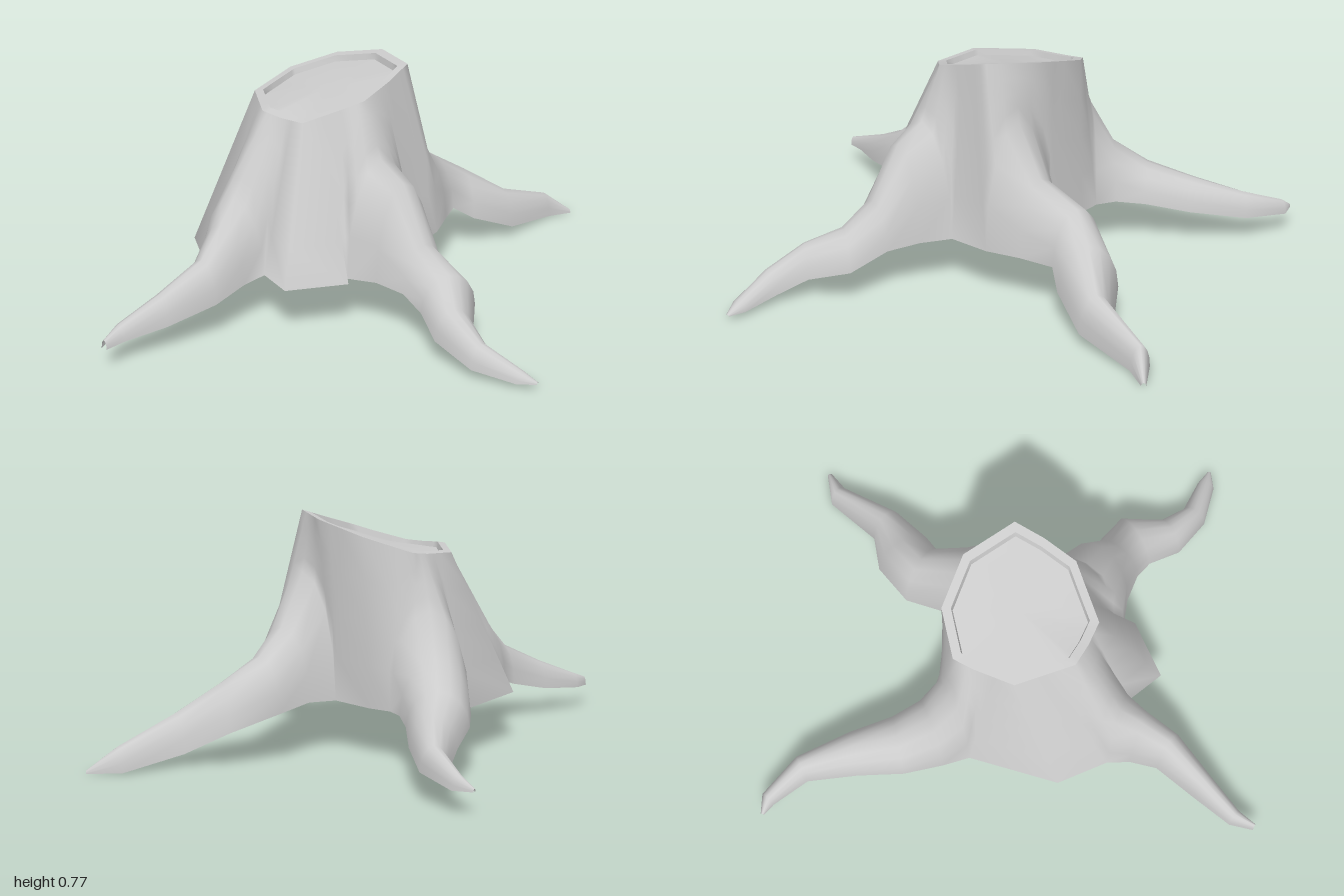
import * as THREE from 'three';
import { mergeGeometries, mergeVertices } from 'three/addons/utils/BufferGeometryUtils.js';

// Outline of the sloping cut, running from the back over +x to the front
const CUT = [[-0.06, 0.66, -0.28], [0.01, 0.67, -0.3], [0.14, 0.72, -0.21], [0.2, 0.763, -0.04],
  [0.15, 0.775, 0.15], [0.05, 0.745, 0.18], [-0.07, 0.71, 0.2], [-0.14, 0.685, 0.165],
  [-0.25, 0.65, 0.11], [-0.275, 0.65, 0.03], [-0.29, 0.655, -0.05], [-0.19, 0.65, -0.23]];

// Root sections from trunk to tip: [x, z, half width, top y, bottom y]
const BACK_ROOT = [[-0.02, -0.355, 0.13, 0.49, 0.165], [0.01, -0.43, 0.115, 0.345, 0.165],
  [0.07, -0.53, 0.1, 0.265, 0.15], [0.17, -0.65, 0.075, 0.22, 0.12], [0.27, -0.8, 0.045, 0.17, 0.09],
  [0.288, -0.95, 0.026, 0.115, 0.07], [0.267, -1, 0.006, 0.08, 0.07]];
const LEFT_ROOT = [[0.205, 0.06, 0.15, 0.58, 0.17], [0.3, 0.035, 0.11, 0.41, 0.17], [0.42, -0.03, 0.1, 0.335, 0.16],
  [0.54, 0, 0.1, 0.26, 0.11], [0.68, 0.055, 0.06, 0.165, 0.04], [0.9, 0.035, 0.035, 0.085, 0.005],
  [0.99, 0.08, 0.008, 0.01, 0]];
const FRONT_ROOT = [[-0.06, 0.275, 0.16, 0.53, 0.165], [-0.045, 0.37, 0.12, 0.475, 0.165],
  [-0.04, 0.47, 0.09, 0.295, 0.15], [-0.03, 0.58, 0.095, 0.225, 0.11], [-0.1, 0.69, 0.065, 0.17, 0.07],
  [-0.105, 0.82, 0.045, 0.105, 0.03], [-0.055, 0.95, 0.03, 0.048, 0.015], [-0.03, 1, 0.006, 0.02, 0.015]];
const RIGHT_ROOT = [[-0.45, 0, 0.115, 0.4, 0.16], [-0.52, 0.03, 0.085, 0.34, 0.15], [-0.62, 0.065, 0.065, 0.26, 0.125],
  [-0.78, 0.06, 0.045, 0.185, 0.09], [-0.93, 0.055, 0.028, 0.125, 0.075], [-1, 0.077, 0.01, 0.1, 0.07]];

const ARCH_STEPS = 8;

// Joins rows of points into a surface
function loft(rows, closed) {
  const n = rows[0].length;
  const index = [];
  for (let r = 0; r < rows.length - 1; r++) {
    for (let i = 0; i < (closed ? n : n - 1); i++) {
      const j = (i + 1) % n;
      const a = r * n + i, b = r * n + j, c = a + n, d = b + n;
      index.push(a, b, c, b, d, c);
    }
  }
  const g = new THREE.BufferGeometry();
  g.setAttribute('position', new THREE.Float32BufferAttribute(rows.flat(2), 3));
  g.setIndex(index);
  return g;
}

// Arched sections of a root, open underneath
function rootRows(sections) {
  return sections.map(([x, z, w, top, bottom], k) => {
    const p = sections[Math.max(k - 1, 0)], q = sections[Math.min(k + 1, sections.length - 1)];
    const dir = new THREE.Vector2(q[0] - p[0], q[1] - p[1]).normalize();
    return Array.from({ length: ARCH_STEPS + 1 }, (_, i) => {
      const a = Math.PI * i / ARCH_STEPS;
      const s = w * Math.cos(a);
      return [x + dir.y * s, bottom + (top - bottom) * Math.sin(a), z - dir.x * s];
    });
  });
}

const mix = (p, q, t) => p.map((v, i) => THREE.MathUtils.lerp(v, q[i], t));

// Point on the cut outline at a fractional corner number
function cutPoint(u) {
  const n = CUT.length, k = Math.floor(u);
  return mix(CUT[(k + n) % n], CUT[(k + 1 + n) % n], u - k);
}

export function createModel() {
  const group = new THREE.Group();
  group.name = 'treeStump';
  const wood = new THREE.MeshStandardMaterial({ color: 0xcccccc, side: THREE.DoubleSide });
  wood.name = 'paleGreyWood';
  const add = (name, geometry) => {
    geometry.computeVertexNormals();
    const mesh = new THREE.Mesh(geometry, wood);
    mesh.name = name;
    group.add(mesh);
  };

  // Lower edge of the trunk: over each root arch and along the ground between
  const top = [], edge = [], parts = [];
  const basePoint = (u, x, z) => {
    top.push(cutPoint(u));
    edge.push([x, 0.165, z]);
  };
  const root = (u, sections) => {
    const rows = rootRows(sections);
    rows[0].forEach((p, i) => {
      top.push(cutPoint(u + 2 * i / ARCH_STEPS));
      edge.push(p);
    });
    parts.push(loft(rows, false));
  };
  root(-0.5, BACK_ROOT);
  basePoint(2, 0.13, -0.23);
  root(2.5, LEFT_ROOT);
  root(5, FRONT_ROOT);
  basePoint(7.5, -0.24, 0.335);
  basePoint(8, -0.43, 0.25);
  root(8.5, RIGHT_ROOT);
  basePoint(11, -0.42, -0.27);

  // Trunk wall flowing into the roots as one smooth skin
  const wall = [0, 0.25, 0.5, 0.75, 1].map(t => top.map((p, i) => mix(p, edge[i], t)));
  parts.push(loft(wall, true));
  add('trunkAndRoots', mergeVertices(mergeGeometries(parts), 1e-4));

  // Bark rim around the cut, a small step, then the sunken cut face
  const centre = [-0.045, 0.7, -0.04];
  const inset = (s, drop) => top.map(p => {
    const [x, y, z] = mix(centre, p, s);
    return [x, y - drop, z];
  });
  const inner = inset(0.88, 0), sunken = inset(0.86, 0.02);
  add('barkRim', loft([inner, top], true));
  add('rimStep', loft([sunken, inner], true));
  add('cutFace', mergeVertices(loft([inset(0, 0.02), sunken], true), 1e-4));
  return group;
}
